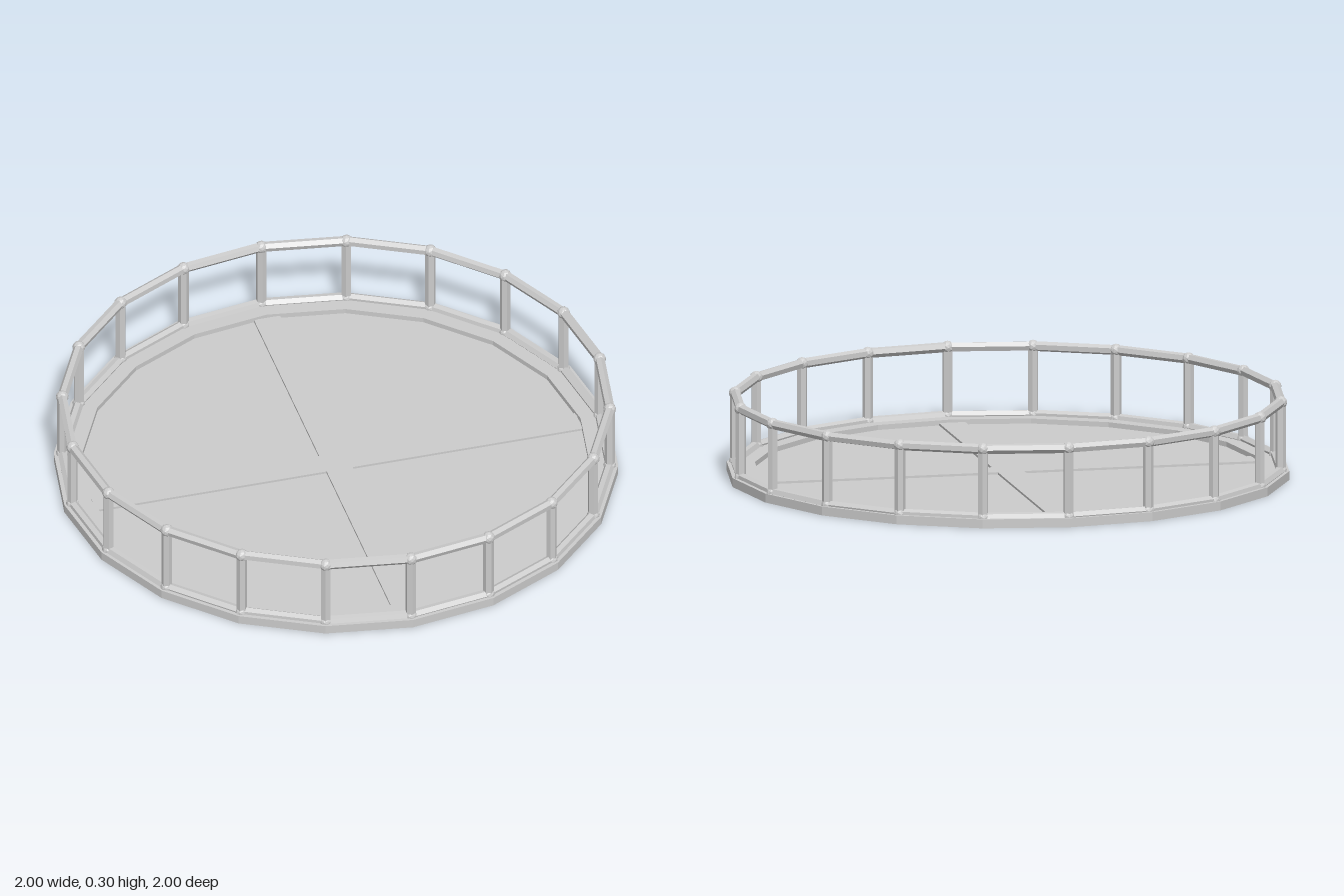
import * as THREE from 'three';

const SIDES = 20;
const RAIL_RADIUS = 0.97;
const LOW_Y = 0.033;
const HIGH_Y = 0.28;

export function createModel() {
  const model = new THREE.Group();
  const material = new THREE.MeshStandardMaterial({ color: 0xcccccc, flatShading: true });

  const add = (name, geometry, parent = model) => {
    const mesh = new THREE.Mesh(geometry, material);
    mesh.name = name;
    parent.add(mesh);
    return mesh;
  };

  // Six-sided bar between two points
  const bar = (name, a, b, radius, parent) => {
    const dir = b.clone().sub(a);
    const mesh = add(name, new THREE.CylinderGeometry(radius, radius, dir.length(), 6), parent);
    mesh.position.copy(a).add(b).multiplyScalar(0.5);
    mesh.quaternion.setFromUnitVectors(new THREE.Vector3(0, 1, 0), dir.normalize());
    return mesh;
  };

  const corner = (i, y) => {
    const a = (i / SIDES) * Math.PI * 2;
    return new THREE.Vector3(Math.sin(a) * RAIL_RADIUS, y, Math.cos(a) * RAIL_RADIUS);
  };

  // Base ring: rectangular section swept around the polygon
  const section = [[0.9, 0], [1, 0], [1, 0.032], [0.9, 0.032], [0.9, 0]]
    .map(([r, y]) => new THREE.Vector2(r, y));
  add('baseRing', new THREE.LatheGeometry(section, SIDES));

  // Recessed floor plate
  add('floor', new THREE.CylinderGeometry(0.902, 0.902, 0.01, SIDES)).position.y = 0.009;

  // Low raised cross on the floor
  const cross = new THREE.Group();
  cross.name = 'floorCross';
  model.add(cross);
  const w = 0.048, l = 0.895;
  const outline = [[w, w], [w, l], [-w, l], [-w, w], [-l, w], [-l, -w],
    [-w, -w], [-w, -l], [w, -l], [w, -w], [l, -w], [l, w]]
    .map(([x, y]) => new THREE.Vector2(x, y));
  const crossGeometry = new THREE.ExtrudeGeometry(new THREE.Shape(outline), { depth: 0.009, bevelEnabled: false });
  crossGeometry.rotateX(-Math.PI / 2);
  add('crossBeams', crossGeometry, cross).position.y = 0.013;

  // Railing: posts, two rails and ball joints at every corner
  const railing = new THREE.Group();
  railing.name = 'railing';
  model.add(railing);
  const jointGeometry = new THREE.IcosahedronGeometry(0.023, 1);
  for (let i = 0; i < SIDES; i++) {
    const post = bar('post', corner(i, LOW_Y), corner(i, HIGH_Y), 0.019, railing);
    post.rotation.y = (i / SIDES) * Math.PI * 2;
    for (const [y, level] of [[LOW_Y, 'lower'], [HIGH_Y, 'upper']]) {
      bar(level + 'Rail', corner(i, y), corner(i + 1, y), 0.018, railing);
      add(level + 'Joint', jointGeometry, railing).position.copy(corner(i, y));
    }
  }
  return model;
}
